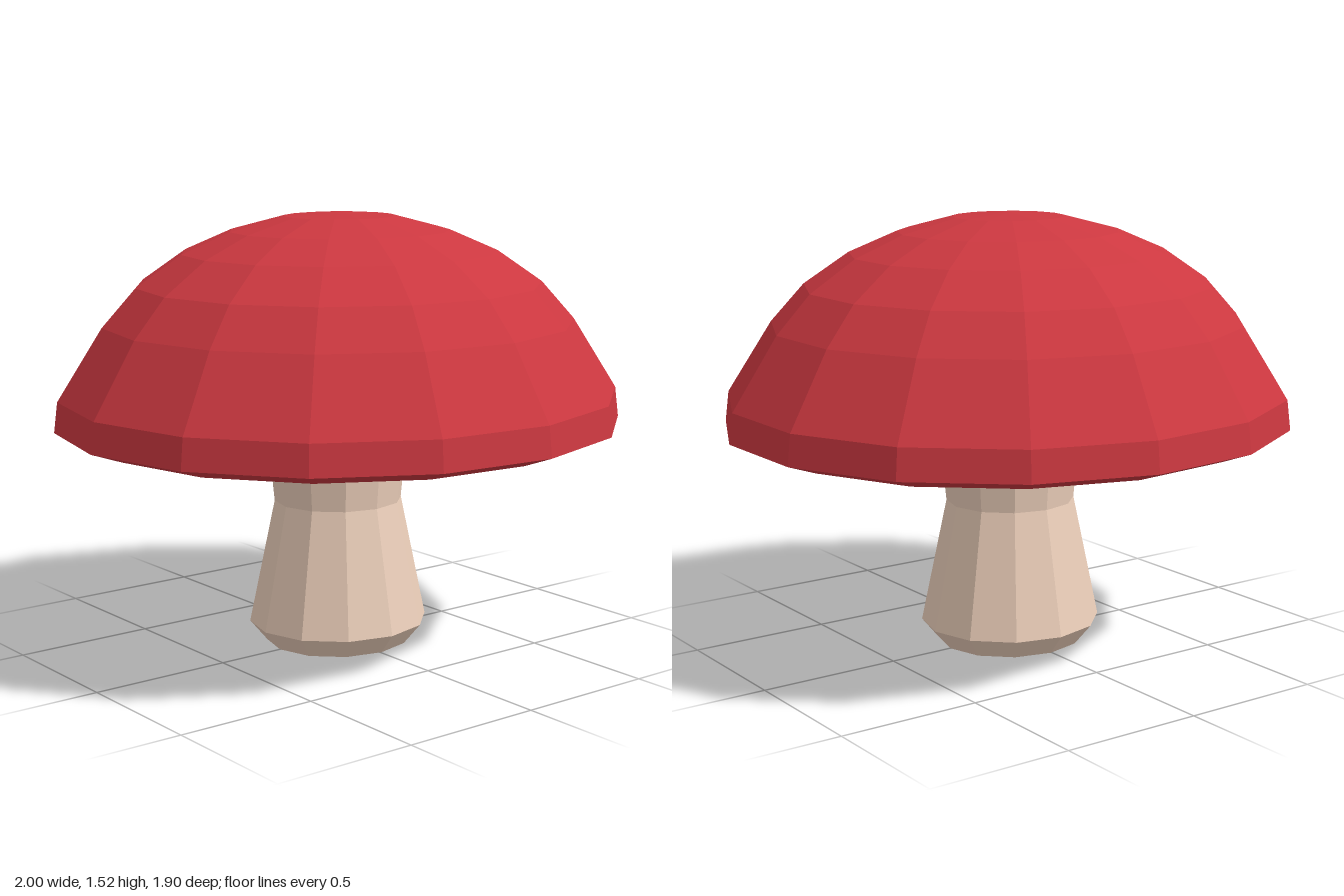
import * as THREE from 'three';

// Faceted turned part: profile runs bottom to top as [radius, height],
// with one corner pointing to -x and a slightly narrower depth.
function turned(name, profile, sides, color, offsetX) {
  const points = profile.map(([r, y]) => new THREE.Vector2(r, y));
  const geometry = new THREE.LatheGeometry(points, sides, -Math.PI / 2);
  geometry.scale(1, 1, 0.947);
  const material = new THREE.MeshStandardMaterial({ color, flatShading: true });
  const mesh = new THREE.Mesh(geometry, material);
  mesh.name = name;
  mesh.position.x = offsetX;
  return mesh;
}

export function createModel() {
  const group = new THREE.Group();
  group.name = 'mushroom';

  // Stem: bevelled foot, narrow waist, flaring into the cap
  group.add(turned('stem', [
    [0, 0], [0.26, 0], [0.322, 0.073], [0.23, 0.51], [0.255, 0.76], [0, 0.76],
  ], 12, 0xeccfba, 0.004));

  // Cap: flat underside, bevelled rim and dome
  group.add(turned('cap', [
    [0, 0.754], [0.893, 0.754], [1.011, 0.795], [0.998, 0.9], [0.84, 1.147],
    [0.722, 1.278], [0.562, 1.387], [0.391, 1.46], [0.198, 1.51], [0, 1.525],
  ], 15, 0xcc3840, 0.011));

  return group;
}
